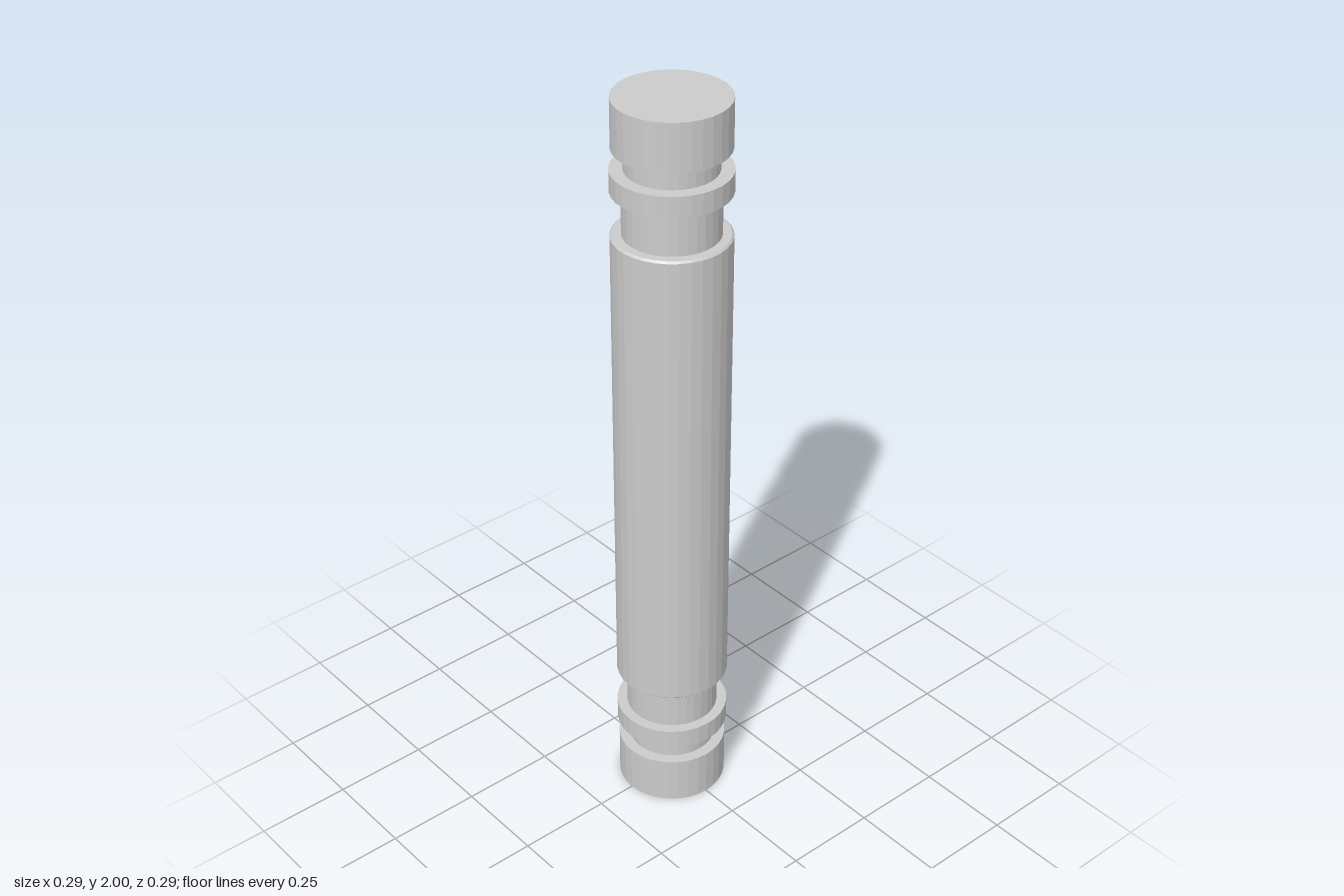
import * as THREE from 'three';

const SIDES = 32;
const material = new THREE.MeshStandardMaterial({ color: 0xcccccc, flatShading: true });

export function createModel() {
  const group = new THREE.Group();

  // Upright closed cylinder spanning y0..y1, with an optional small bevel on both rims
  const drum = (name, radius, y0, y1, bevel = 0) => {
    const profile = [[0, y0], [radius - bevel, y0]];
    if (bevel) profile.push([radius, y0 + bevel], [radius, y1 - bevel]);
    profile.push([radius - bevel, y1], [0, y1]);
    const points = profile.map(([r, y]) => new THREE.Vector2(r, y));
    const mesh = new THREE.Mesh(new THREE.LatheGeometry(points, SIDES), material);
    mesh.name = name;
    group.add(mesh);
  };

  // Main barrel
  drum('barrel', 0.147, 0.353, 1.653, 0.005);

  // Lower end: cap, thin neck, collar, wide neck
  drum('lowerCap', 0.143, 0, 0.13);
  drum('lowerThinNeck', 0.114, 0.13, 0.186);
  drum('lowerCollar', 0.147, 0.186, 0.241);
  drum('lowerWideNeck', 0.12, 0.241, 0.353);

  // Upper end: wide neck, collar, thin neck, cap
  drum('upperWideNeck', 0.12, 1.653, 1.765);
  drum('upperCollar', 0.147, 1.765, 1.82);
  drum('upperThinNeck', 0.114, 1.82, 1.875);
  drum('upperCap', 0.143, 1.875, 2);

  return group;
}
